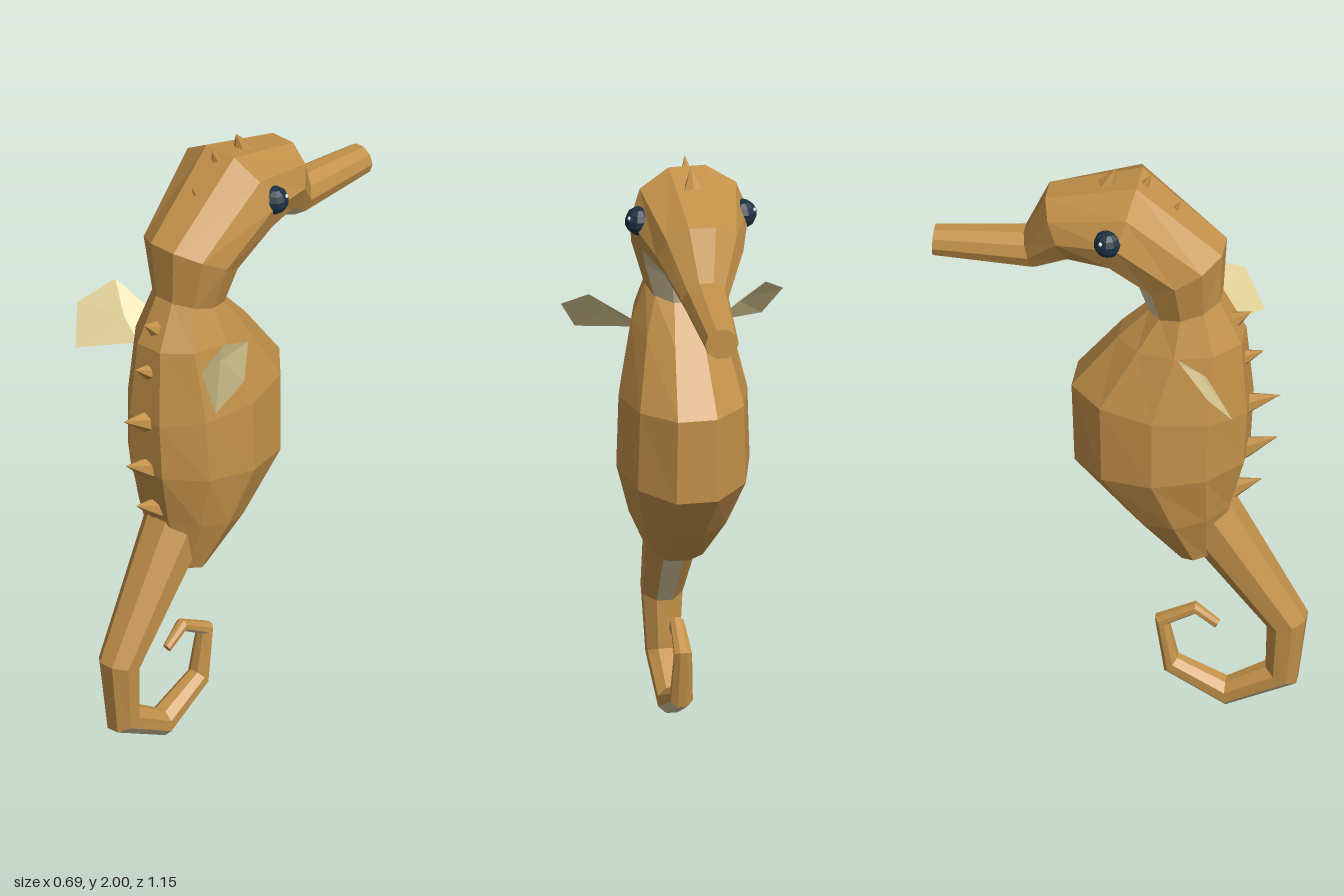
import * as THREE from 'three';

const flat = (name, color, side = THREE.FrontSide) => {
  const m = new THREE.MeshStandardMaterial({ color, flatShading: true, side });
  m.name = name;
  return m;
};

// Loft through rings. Each section: [zBack, yBack, zFront, yFront, halfWidth].
// isPale(segment, side, normal) picks the faces that get the second material.
function loft(sections, sides, isPale = () => false) {
  const rings = sections.map(([zb, yb, zf, yf, w]) => {
    const mid = new THREE.Vector3(0, (yb + yf) / 2, (zb + zf) / 2);
    const half = new THREE.Vector3(0, (yf - yb) / 2, (zf - zb) / 2)
      .divideScalar(Math.cos(Math.PI / sides));
    const pts = [];
    for (let i = 0; i < sides; i++) {
      const a = Math.PI / 2 + ((i - 0.5) * 2 * Math.PI) / sides; // side 0 faces front
      pts.push(mid.clone().addScaledVector(half, Math.sin(a))
        .add(new THREE.Vector3(Math.cos(a) * w, 0, 0)));
    }
    return { mid, pts };
  });
  const main = [], pale = [];
  const normalOf = (a, b, c) => b.clone().sub(a).cross(c.clone().sub(a)).normalize();
  const tri = (out, a, b, c, inside) => {
    const list = normalOf(a, b, c).dot(a.clone().sub(inside)) < 0 ? [a, c, b] : [a, b, c];
    list.forEach(p => out.push(p.x, p.y, p.z));
  };
  for (let s = 0; s < rings.length - 1; s++) {
    const A = rings[s], B = rings[s + 1];
    const inside = A.mid.clone().lerp(B.mid, 0.5);
    for (let i = 0; i < sides; i++) {
      const j = (i + 1) % sides;
      const n = normalOf(A.pts[i], A.pts[j], B.pts[j]);
      if (n.dot(A.pts[i].clone().sub(inside)) < 0) n.negate();
      const out = isPale(s, i, n) ? pale : main;
      tri(out, A.pts[i], A.pts[j], B.pts[j], inside);
      tri(out, A.pts[i], B.pts[j], B.pts[i], inside);
    }
  }
  // end caps
  [[0, 1], [rings.length - 1, rings.length - 2]].forEach(([e, k]) => {
    const { mid, pts } = rings[e];
    pts.forEach((p, i) => tri(main, mid, p, pts[(i + 1) % sides], rings[k].mid));
  });
  const g = new THREE.BufferGeometry();
  g.setAttribute('position', new THREE.Float32BufferAttribute([...main, ...pale], 3));
  g.addGroup(0, main.length / 3, 0);
  g.addGroup(main.length / 3, pale.length / 3, 1);
  g.computeVertexNormals();
  return g;
}

export function createModel() {
  const model = new THREE.Group();
  const tan = flat('tan skin', 0xc4924a);
  const cream = flat('pale underside', 0xd6c8a0);
  const finMat = flat('fin', 0xe0cf96, THREE.DoubleSide);
  const eyeMat = flat('dark eye', 0x1c3042);
  const glint = flat('eye glint', 0xf0f0f0);
  const add = (name, geo, mat) => {
    const m = new THREE.Mesh(geo, mat);
    m.name = name;
    model.add(m);
    return m;
  };

  // Round-bellied torso
  add('torso', loft([
    [0.315, 1.555, 0.095, 1.495, 0.105],
    [0.385, 1.41, 0.0, 1.39, 0.15],
    [0.405, 1.16, -0.14, 1.20, 0.2],
    [0.395, 0.97, -0.13, 0.92, 0.207],
    [0.35, 0.79, 0.035, 0.73, 0.158],
    [0.305, 0.61, 0.18, 0.585, 0.09],
  ], 10), tan);

  // Neck, head and snout with a pale throat
  add('head', loft([
    [0.315, 1.54, 0.1, 1.48, 0.105],
    [0.325, 1.74, 0.065, 1.595, 0.15],
    [0.06, 1.97, -0.025, 1.67, 0.185],
    [-0.225, 1.89, -0.13, 1.675, 0.135],
    [-0.295, 1.735, -0.255, 1.61, 0.072],
    [-0.575, 1.705, -0.575, 1.61, 0.052],
  ], 10, (s, i) => s < 4 && [0, 1, 9].includes(i)), [tan, cream]);

  // Curled tail, pale where it faces down
  add('tail', loft([
    [0.34, 0.8, 0.2, 0.66, 0.098],
    [0.58, 0.36, 0.46, 0.325, 0.066],
    [0.55, 0.115, 0.455, 0.165, 0.054],
    [0.33, 0.005, 0.33, 0.09, 0.047],
    [0.14, 0.11, 0.18, 0.16, 0.037],
    [0.11, 0.305, 0.152, 0.285, 0.029],
    [0.235, 0.37, 0.235, 0.332, 0.022],
    [0.31, 0.31, 0.295, 0.285, 0.014],
  ], 8, (s, i, n) => n.y < -0.45), [tan, cream]);

  // Spines: [base z, base y, tip z, tip y, radius]
  [
    [0.36, 1.47, 0.408, 1.503, 0.025],
    [0.38, 1.325, 0.448, 1.36, 0.028],
    [0.385, 1.15, 0.5, 1.197, 0.038],
    [0.38, 0.98, 0.49, 1.035, 0.038],
    [0.35, 0.825, 0.442, 0.87, 0.035],
    [-0.04, 1.935, -0.012, 2.0, 0.03],
    [0.075, 1.945, 0.098, 1.99, 0.018],
    [0.165, 1.855, 0.19, 1.9, 0.013],
  ].forEach(([zb, yb, zt, yt, r], i) => {
    const dir = new THREE.Vector3(0, yt - yb, zt - zb);
    const h = dir.length();
    const spine = add(i < 5 ? 'backSpine' : 'crownSpine', new THREE.ConeGeometry(r, h, 6), tan);
    spine.position.set(0, (yb + yt) / 2, (zb + zt) / 2);
    spine.quaternion.setFromUnitVectors(new THREE.Vector3(0, 1, 0), dir.normalize());
  });

  // Eyes and side fins, mirrored
  [[1, 'left'], [-1, 'right']].forEach(([s, side]) => {
    const eye = add(side + 'Eye', new THREE.SphereGeometry(0.045, 10, 7), eyeMat);
    eye.position.set(s * 0.16, 1.83, -0.01);
    const spark = add(side + 'EyeGlint', new THREE.SphereGeometry(0.007, 6, 4), glint);
    spark.position.set(s * 0.193, 1.848, -0.028);

    const outline = [[0.13, 1.39, 0.2], [0.275, 1.48, 0.235], [0.345, 1.41, 0.33],
      [0.29, 1.3, 0.4], [0.13, 1.335, 0.29]];
    const hub = [0.2, 1.4, 0.28], pos = [];
    outline.forEach((p, i) => {
      const q = outline[(i + 1) % outline.length];
      (s > 0 ? [hub, q, p] : [hub, p, q]).forEach(v => pos.push(v[0] * s, v[1], v[2]));
    });
    const fin = new THREE.BufferGeometry();
    fin.setAttribute('position', new THREE.Float32BufferAttribute(pos, 3));
    fin.computeVertexNormals();
    add(side + 'Fin', fin, finMat);
  });
  return model;
}
